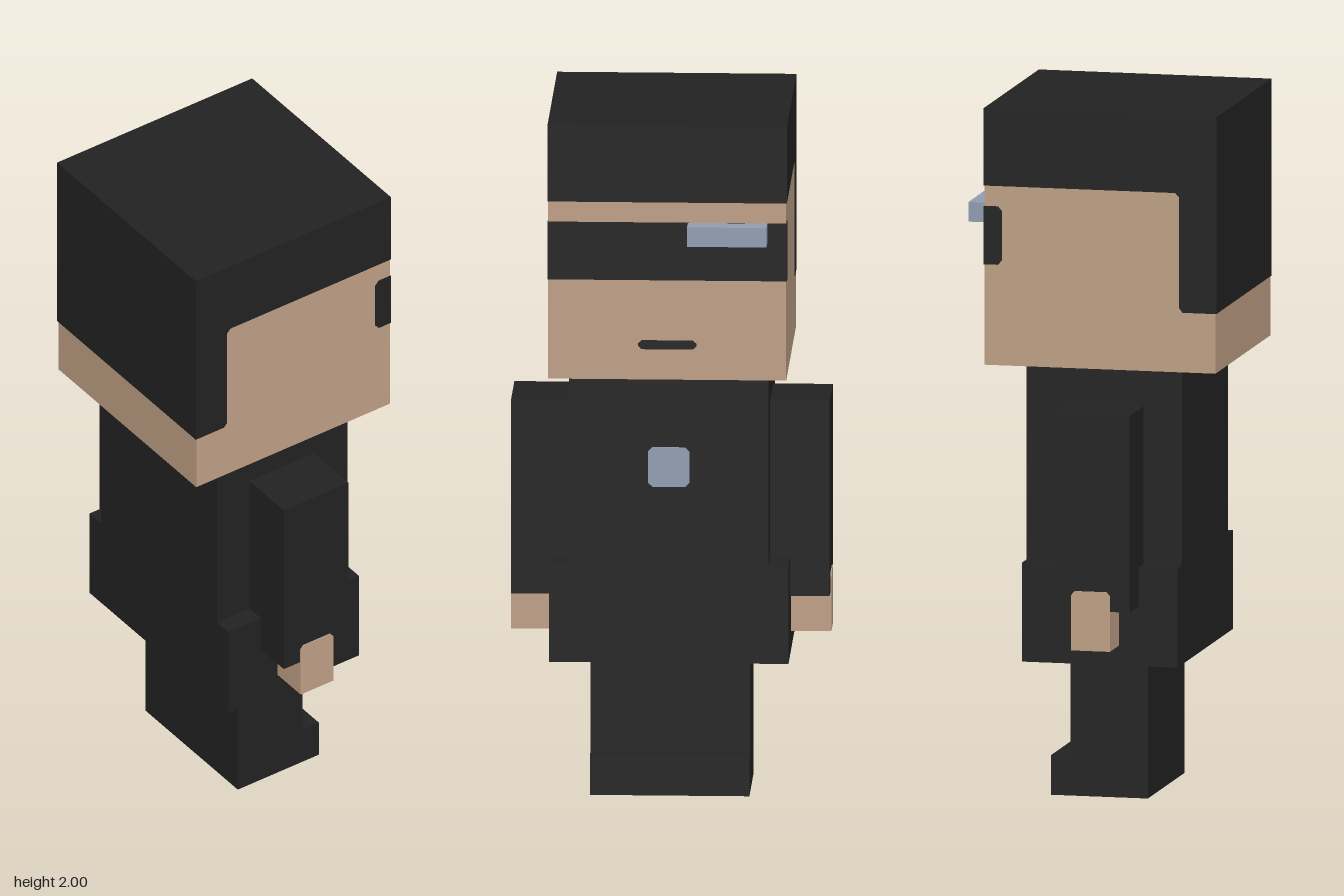
import * as THREE from 'three';

export function createModel() {
  const model = new THREE.Group();
  model.name = 'blockFigure';

  const mat = (name, color) => {
    const m = new THREE.MeshStandardMaterial({ color });
    m.name = name;
    return m;
  };
  const black = mat('black', 0x222222);
  const skin = mat('skin', 0xc0a186);
  const steel = mat('blueGrey', 0x919fb3);

  const add = (name, geometry, material) => {
    const mesh = new THREE.Mesh(geometry, material);
    mesh.name = name;
    model.add(mesh);
    return mesh;
  };

  // Box given by its limits on each axis
  const box = (name, material, [x0, x1], [y0, y1], [z0, z1]) => {
    const mesh = add(name, new THREE.BoxGeometry(x1 - x0, y1 - y0, z1 - z0), material);
    mesh.position.set((x0 + x1) / 2, (y0 + y1) / 2, (z0 + z1) / 2);
    return mesh;
  };

  // Flat outline in x, y, extruded from z0 to z1
  const slab = (name, material, points, z0, z1) => {
    const shape = new THREE.Shape(points.map(([x, y]) => new THREE.Vector2(x, y)));
    const mesh = add(name, new THREE.ExtrudeGeometry(shape, { depth: z1 - z0, bevelEnabled: false }), material);
    mesh.position.z = z0;
    return mesh;
  };

  // Rectangle outline with clipped corners
  const clipped = (x0, x1, y0, y1, c, d = c) => [
    [x0 + c, y0], [x1 - c, y0], [x1, y0 + d], [x1, y1 - d],
    [x1 - c, y1], [x0 + c, y1], [x0, y1 - d], [x0, y0 + d],
  ];

  // Head and hair, with the hair running down the back
  box('head', skin, [-0.368, 0.31], [1.257, 1.99], [-0.34, 0.34]);
  slab('hair', black, [
    [-0.371, 1.43], [-0.272, 1.43], [-0.262, 1.442], [-0.262, 1.763],
    [-0.25, 1.776], [0.312, 1.776], [0.312, 2], [-0.371, 2],
  ], -0.342, 0.342);

  // Visor band wrapping onto the sides, and the bar mounted on it
  slab('visor', black, [
    [0.27, 1.548], [0.312, 1.548], [0.312, 1.717], [0.27, 1.717], [0.258, 1.703], [0.258, 1.562],
  ], -0.342, 0.342);
  box('visorBar', steel, [0.305, 0.37], [1.66, 1.717], [-0.286, -0.059]);

  // Painted mouth and chest badge, turned to face +x
  const mouth = slab('mouth', black, clipped(-0.083, 0.083, 1.346, 1.372, 0.01, 0.009), 0, 0.004);
  const badge = slab('badge', steel, clipped(-0.059, 0.059, 0.918, 1.034, 0.012), 0, 0.004);
  for (const [plate, x] of [[mouth, 0.309], [badge, 0.198]]) {
    plate.rotation.y = Math.PI / 2;
    plate.position.set(x, 0, 0);
  }

  // Torso, coat hem, legs and feet
  box('torso', black, [-0.257, 0.2], [0.6, 1.257], [-0.285, 0.285]);
  box('coatHem', black, [-0.257, 0.2], [0.402, 0.688], [-0.342, 0.342]);
  box('legs', black, [-0.143, 0.084], [0, 0.402], [-0.228, 0.228]);
  box('feet', black, [-0.143, 0.141], [0, 0.115], [-0.228, 0.228]);

  // Arms and hands, mirrored; the hand shows on the outer face of the cuff
  for (const [side, s] of [['left', 1], ['right', -1]]) {
    const span = (a, b) => (s > 0 ? [a, b] : [-b, -a]);
    box(side + 'Arm', black, [-0.143, 0.084], [0.575, 1.145], span(0.284, 0.455));
    slab(side + 'Hand', skin, [
      [-0.086, 0.46], [0.028, 0.46], [0.028, 0.62], [0.018, 0.632], [-0.076, 0.632], [-0.086, 0.62],
    ], ...span(0.343, 0.458));
  }

  return model;
}
